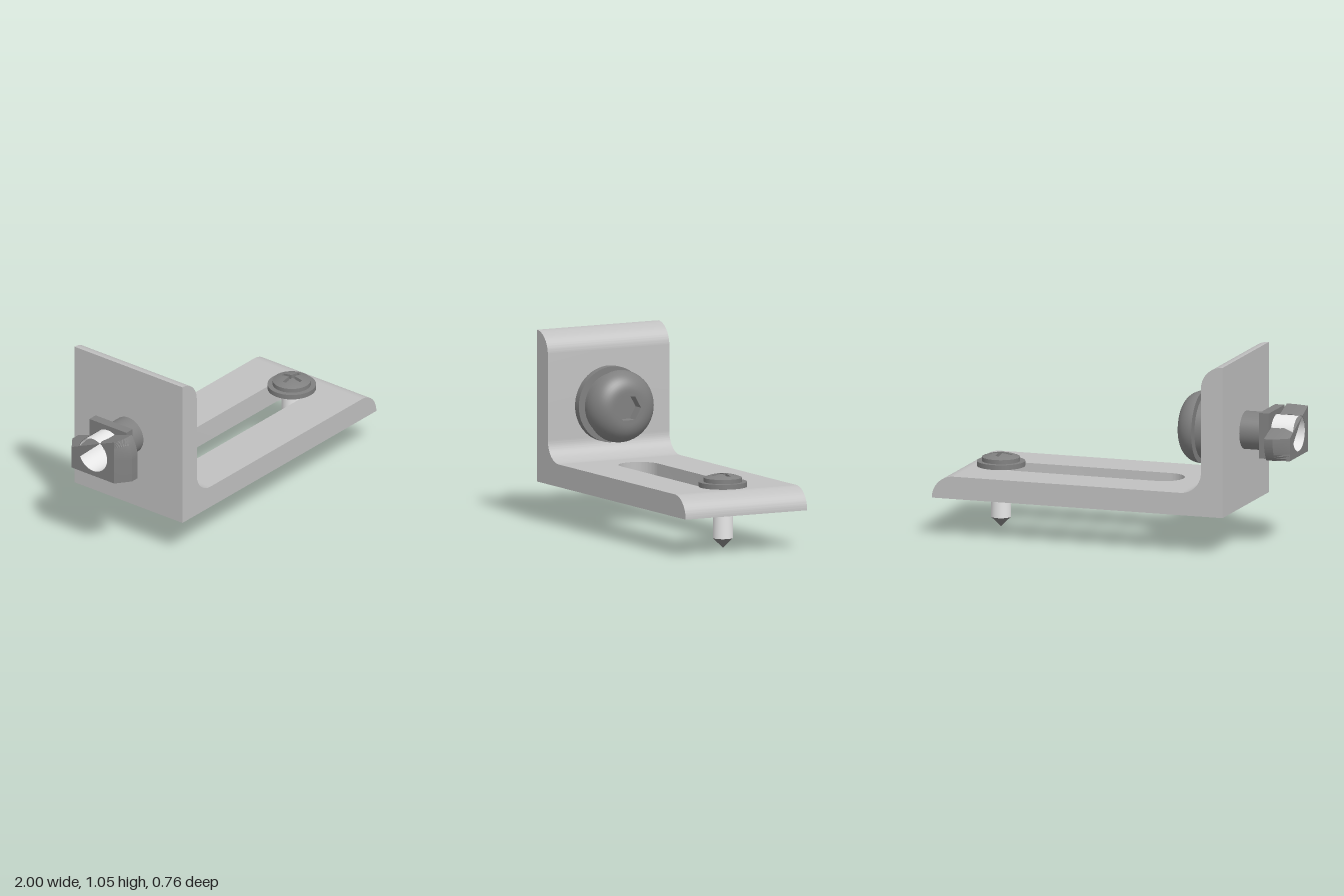
import * as THREE from 'three';
import { toCreasedNormals } from 'three/addons/utils/BufferGeometryUtils.js';

const material = (name, color) => Object.assign(new THREE.MeshStandardMaterial({ color }), { name });

function add(parent, name, geometry, mat, x = 0, y = 0, z = 0) {
  const mesh = new THREE.Mesh(geometry, mat);
  mesh.name = name;
  mesh.position.set(x, y, z);
  parent.add(mesh);
  return mesh;
}

function extrude(shape, depth, steps = 1) {
  return new THREE.ExtrudeGeometry(shape, { depth, steps, bevelEnabled: false, curveSegments: 24 });
}

// Cylinder lying along x between two positions
function rod(x0, x1, r, open = false) {
  return new THREE.CylinderGeometry(r, r, x1 - x0, 64, 1, open).rotateZ(-Math.PI / 2).translate((x0 + x1) / 2, 0, 0);
}

// Surface skinned over rings around y; each ring maps an angle to [radius, height]
function ringSurface(rings, extraAngles = []) {
  const angles = [...extraAngles];
  for (let i = 0; i < 48; i++) angles.push((i * Math.PI) / 24);
  angles.sort((a, b) => a - b);
  const n = angles.length, pos = [], idx = [];
  for (const ring of rings) {
    for (const a of angles) {
      const [r, y] = ring(a);
      pos.push(r * Math.cos(a), y, r * Math.sin(a));
    }
  }
  for (let j = 0; j < rings.length - 1; j++) {
    for (let i = 0; i < n; i++) {
      const k = (i + 1) % n;
      const a = j * n + i, b = j * n + k, c = a + n, d = b + n;
      if (j > 0) idx.push(a, b, c);
      if (j < rings.length - 2) idx.push(c, b, d);
    }
  }
  const g = new THREE.BufferGeometry();
  g.setAttribute('position', new THREE.Float32BufferAttribute(pos, 3));
  g.setIndex(idx);
  return toCreasedNormals(g, 0.5);
}

export function createModel() {
  const model = new THREE.Group();
  model.name = 'slottedAngleBracket';
  const grey = material('bracketGrey', 0xc0c0c0);
  const dark = material('darkSteel', 0x808080);
  const light = material('brightSteel', 0xf5f5f5);
  const W = 0.38, Q = Math.PI / 2;

  // Bracket: upright with inner fillet, slotted plate and rounded nose
  const bracket = new THREE.Group();
  bracket.name = 'bracket';
  model.add(bracket);

  const upright = new THREE.Shape();
  upright.moveTo(-0.69, 0.215);
  upright.lineTo(-0.445, 0.215);
  upright.lineTo(-0.445, 0.34);
  upright.absarc(-0.445, 0.46, 0.12, -Q, -2 * Q, true);
  upright.lineTo(-0.565, 0.93);
  upright.absarc(-0.69, 0.93, 0.125, 0, Q, false);
  add(bracket, 'upright', toCreasedNormals(extrude(upright, 2 * W), 0.5), grey, 0, 0, -W);

  const plate = new THREE.Shape();
  plate.moveTo(-0.445, -W);
  plate.lineTo(0.875, -W);
  plate.lineTo(0.875, W);
  plate.lineTo(-0.445, W);
  const slot = new THREE.Path();
  slot.absarc(-0.215, 0, 0.115, -Q, -3 * Q, true);
  slot.absarc(0.73, 0, 0.115, Q, -Q, true);
  slot.closePath();
  plate.holes.push(slot);
  add(bracket, 'slottedPlate', toCreasedNormals(extrude(plate, 0.125).rotateX(-Q), 0.5), grey, 0, 0.215);

  const nose = new THREE.Shape();
  nose.moveTo(0.875, 0.215);
  nose.lineTo(1, 0.215);
  nose.absarc(0.875, 0.215, 0.125, 0, Q, false);
  add(bracket, 'roundedNose', toCreasedNormals(extrude(nose, 2 * W), 0.5), grey, 0, 0, -W);

  // Horizontal bolt with washers
  const bolt = new THREE.Group();
  bolt.name = 'bolt';
  bolt.position.y = 0.637;
  model.add(bolt);
  add(bolt, 'boltShaft', rod(-0.815, -0.42, 0.105), dark);
  add(bolt, 'flatWasher', rod(-0.565, -0.522, 0.21), dark);
  add(bolt, 'springWasher', rod(-0.513, -0.455, 0.177), dark);

  // Button head with hexagonal socket
  const hex = (a) => 0.065 / Math.cos(a - Math.round(a / (Math.PI / 3)) * (Math.PI / 3));
  const headRings = [() => [0, 0.05], (a) => [hex(a), 0.05], (a) => [hex(a), 0.111]];
  for (let i = 0; i <= 12; i++) {
    const t = Q * (1 - i / 12);
    headRings.push(() => [0.09 + 0.11 * Math.cos(t), 0.111 * Math.sin(t)]);
  }
  headRings.push(() => [0, 0]);
  add(bolt, 'buttonHead', ringSurface(headRings).rotateZ(-Q), dark, -0.444);

  // Slot nut: two opposite corners rounded, chamfered outer end
  const phi = Math.asin(0.127 / 0.21), hole = () => new THREE.Path().absarc(0, 0, 0.1, 0, 4 * Q, true);
  const nut = new THREE.Shape();
  nut.moveTo(0.21, 0.127);
  nut.absarc(0, 0, 0.21, Math.PI - phi, Math.PI, false);
  nut.lineTo(-0.21, -0.127);
  nut.absarc(0, 0, 0.21, -phi, 0, false);
  nut.holes.push(hole());
  const nutGeo = extrude(nut, 0.13, 2);
  const p = nutGeo.attributes.position;
  for (let i = 0; i < p.count; i++) {
    const z = p.getZ(i);
    if (z < 0.01) p.setX(i, THREE.MathUtils.clamp(p.getX(i), -0.15, 0.15));
    else if (z < 0.1) p.setZ(i, 0.08);
  }
  add(bolt, 'slotNut', toCreasedNormals(nutGeo.rotateY(Q), 0.4), dark, -1);

  const neck = new THREE.Shape();
  neck.moveTo(-0.13, -0.127);
  neck.lineTo(0.13, -0.127);
  neck.lineTo(0.13, 0.127);
  neck.lineTo(-0.13, 0.127);
  neck.holes.push(hole());
  add(bolt, 'nutNeck', extrude(neck, 0.055).rotateY(Q), dark, -0.87);
  const bore = light.clone();
  bore.name = 'boreSteel';
  bore.side = THREE.DoubleSide;
  add(bolt, 'nutBore', rod(-0.999, -0.815, 0.098, true), bore);

  // Vertical screw through the slot
  const screw = new THREE.Group();
  screw.name = 'screw';
  screw.position.x = 0.733;
  model.add(screw);
  add(screw, 'screwWasher', new THREE.CylinderGeometry(0.133, 0.133, 0.027, 64), dark, 0, 0.3535);
  add(screw, 'screwShaft', new THREE.CylinderGeometry(0.055, 0.055, 0.29, 48), light, 0, 0.2);
  add(screw, 'screwTip', new THREE.ConeGeometry(0.055, 0.055, 48).rotateX(Math.PI), dark, 0, 0.0275);

  // Domed head with cross recess
  const arm = 0.065, half = 0.011, R = 0.105;
  const cross = (a) => {
    const c = Math.abs(Math.cos(a)) + 1e-9, s = Math.abs(Math.sin(a)) + 1e-9;
    return Math.max(Math.min(arm / c, half / s), Math.min(half / c, arm / s));
  };
  const dome = (r) => [r, 0.412 - 0.022 * (r / R) ** 2];
  const screwRings = [() => [0, 0.385], (a) => [cross(a), 0.385]];
  for (let i = 0; i <= 6; i++) screwRings.push((a) => dome(cross(a) + (R - cross(a)) * (i / 6)));
  screwRings.push(() => [R, 0.367], () => [0, 0.367]);
  const corner = Math.atan(half / arm), corners = [];
  for (let k = 0; k < 4; k++) corners.push(k * Q + corner, (k + 1) * Q - corner);
  add(screw, 'crossHead', ringSurface(screwRings, corners), dark);

  return model;
}
